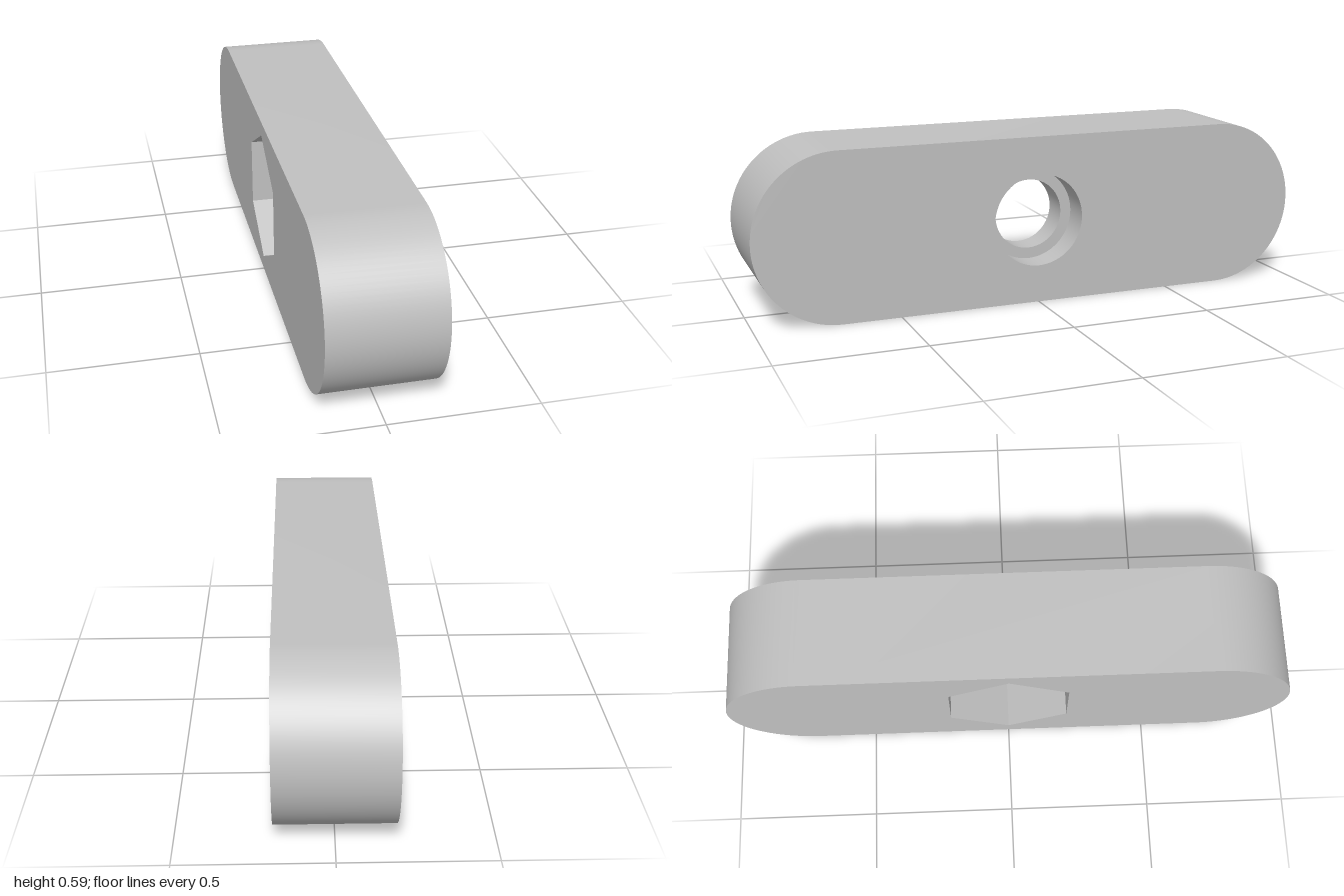
import * as THREE from 'three';
import { toCreasedNormals } from 'three/addons/utils/BufferGeometryUtils.js';

const HALF_T = 0.1925, R = 0.295, STRAIGHT = 0.705;
const BORE_FLOOR = 0.09, HEX_FLOOR = -0.01;

// Closed counter-clockwise outline of n points
function ring(radius, n, start = 0) {
  return Array.from({ length: n }, (_, i) => {
    const a = start + (i / n) * Math.PI * 2;
    return new THREE.Vector2(radius * Math.cos(a), radius * Math.sin(a));
  });
}

// Bar outline with two round ends
function stadium(n = 48) {
  const pts = [];
  for (const side of [1, -1]) {
    for (let i = 0; i <= n; i++) {
      const a = -Math.PI / 2 + (i / n) * Math.PI;
      pts.push(new THREE.Vector2(side * (STRAIGHT + R * Math.cos(a)), side * R * Math.sin(a)));
    }
  }
  return pts;
}

// Wall swept along x between x0 and x1, facing outward or into the pocket
function wall(outline, x0, x1, inward = false) {
  const pts = inward ? [...outline].reverse() : outline;
  const pos = [];
  pts.forEach((a, i) => {
    const b = pts[(i + 1) % pts.length];
    const quad = [[a, x0], [b, x0], [b, x1], [a, x0], [b, x1], [a, x1]];
    for (const [p, x] of quad) pos.push(x, p.y, -p.x);
  });
  const g = new THREE.BufferGeometry();
  g.setAttribute('position', new THREE.Float32BufferAttribute(pos, 3));
  return toCreasedNormals(g, 0.5);
}

// Flat face with a hole, facing +x (dir 1) or -x (dir -1)
function face(outline, hole, x, dir) {
  const shape = new THREE.Shape(outline);
  shape.holes.push(new THREE.Path(hole));
  return new THREE.ShapeGeometry(shape).rotateY(dir * Math.PI / 2).translate(x, 0, 0);
}

export function createModel() {
  const group = new THREE.Group();
  group.name = 'roundedBar';
  const grey = new THREE.MeshStandardMaterial({ color: 0xc0c0c0 });
  grey.name = 'grey';

  const bar = stadium();
  const bore = ring(0.163, 64);
  const hole = ring(0.124, 64);
  const hex = ring(0.243, 6, Math.PI / 2);

  const parts = {
    outerWall: wall(bar, -HALF_T, HALF_T),
    boreFace: face(bar, bore, HALF_T, 1),
    hexFace: face(bar, hex, -HALF_T, -1),
    // round recess, through hole and hexagonal pocket
    boreWall: wall(bore, BORE_FLOOR, HALF_T, true),
    boreFloor: face(bore, hole, BORE_FLOOR, 1),
    throughHole: wall(hole, HEX_FLOOR, BORE_FLOOR, true),
    hexFloor: face(hex, hole, HEX_FLOOR, -1),
    hexWall: wall(hex, -HALF_T, HEX_FLOOR, true),
  };
  for (const [name, geometry] of Object.entries(parts)) {
    const mesh = new THREE.Mesh(geometry, grey);
    mesh.name = name;
    mesh.position.y = R;
    group.add(mesh);
  }
  return group;
}
